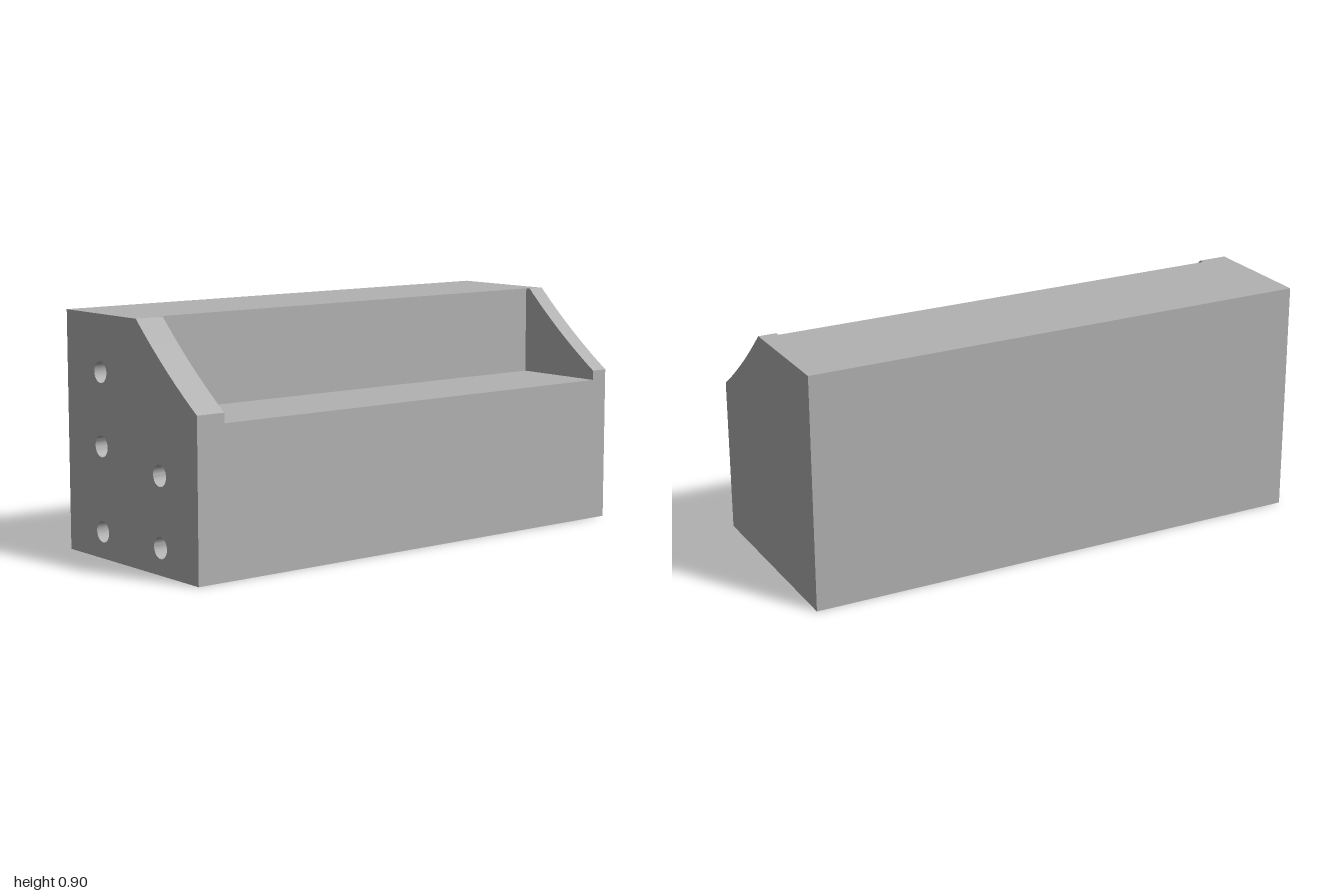
import * as THREE from 'three';
import { toCreasedNormals } from 'three/addons/utils/BufferGeometryUtils.js';

const Z_FRONT = 0.885, Z_BACK = -0.93; // inner faces of the end plates

export function createModel() {
  const model = new THREE.Group();
  const grey = new THREE.MeshStandardMaterial({ color: 0xb2b2b2 });
  grey.name = 'plain grey';

  const add = (name, geometry) => {
    const mesh = new THREE.Mesh(geometry, grey);
    mesh.name = name;
    model.add(mesh);
    return mesh;
  };
  const extrude = (shape, z0, z1) => {
    const g = new THREE.ExtrudeGeometry(shape, { depth: z1 - z0, bevelEnabled: false, curveSegments: 16 });
    g.translate(0, 0, z0);
    return toCreasedNormals(g, 0.5);
  };
  const box = (name, x0, x1, y0, y1, z0, z1) => {
    const g = new THREE.BoxGeometry(x1 - x0, y1 - y0, z1 - z0);
    add(name, g).position.set((x0 + x1) / 2, (y0 + y1) / 2, (z0 + z1) / 2);
  };

  // End plates: rectangle with one shallow concave cut corner
  const plateShape = (holes) => {
    const s = new THREE.Shape();
    s.moveTo(-0.41, 0);
    s.lineTo(0.41, 0);
    s.lineTo(0.41, 0.597);
    s.quadraticCurveTo(0.215, 0.732, 0.045, 0.9);
    s.lineTo(-0.41, 0.9);
    s.closePath();
    for (const [x, y] of holes) s.holes.push(new THREE.Path().absarc(x, y, 0.04, 0, Math.PI * 2, true));
    return s;
  };
  const screwHoles = [[-0.19, 0.688], [-0.19, 0.416], [-0.19, 0.1], [0.18, 0.358], [0.18, 0.1]];
  add('frontPlate', extrude(plateShape(screwHoles), Z_FRONT, 1));
  add('backPlate', extrude(plateShape([]), -1, Z_BACK));

  // Thin-walled stepped shell, open underneath
  const section = [
    [-0.41, 0], [-0.34, 0], [-0.34, 0.83], [-0.045, 0.83], [-0.045, 0.49], [0.34, 0.49],
    [0.34, 0], [0.41, 0], [0.41, 0.56], [0.025, 0.56], [0.025, 0.9], [-0.41, 0.9],
  ];
  const shell = new THREE.Shape(section.map(([x, y]) => new THREE.Vector2(x, y)));
  add('steppedShell', extrude(shell, Z_BACK, Z_FRONT));

  // Central rib, raised over the boss so its hole stays open
  box('centreRib', -0.045, 0.037, 0, 0.49, -0.52, Z_FRONT);
  box('ribOverBoss', -0.045, 0.037, 0.06, 0.49, Z_BACK, -0.52);

  // Round boss with a shallow blind hole
  const profile = [[0, 0.05], [0.057, 0.05], [0.057, 0], [0.25, 0], [0.25, 0.2], [0, 0.2]];
  const boss = new THREE.LatheGeometry(profile.map(([r, y]) => new THREE.Vector2(r, y)), 48);
  add('boss', toCreasedNormals(boss, 0.5)).position.z = -0.745;

  return model;
}
